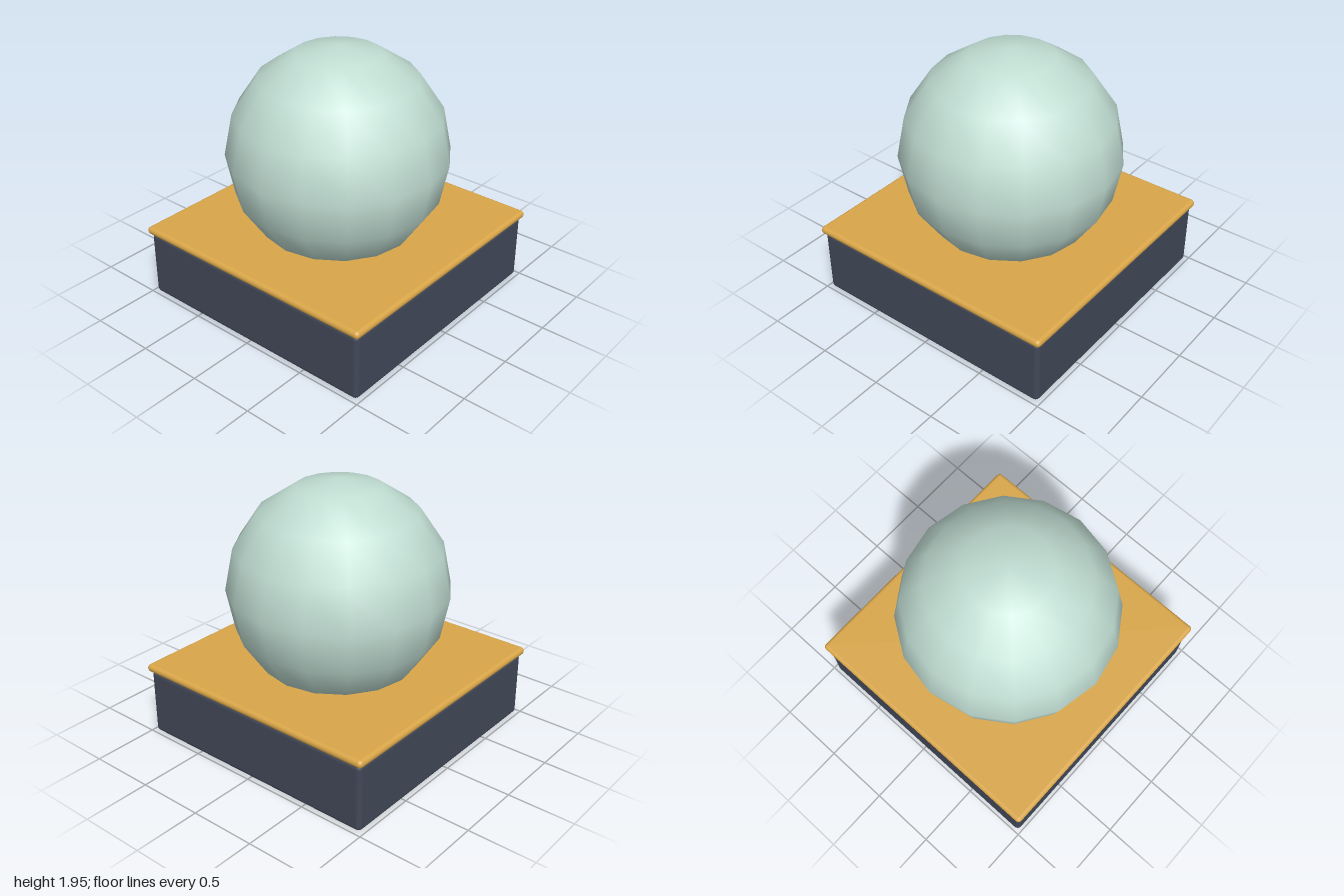
import * as THREE from 'three';
import { RoundedBoxGeometry } from 'three/addons/geometries/RoundedBoxGeometry.js';

const flat = (name, color) => {
  const m = new THREE.MeshStandardMaterial({ color });
  m.name = name;
  return m;
};

export function createModel() {
  const group = new THREE.Group();
  group.name = 'globeOnPlinth';

  const slate = flat('slate', 0x414858);
  const gold = flat('gold', 0xd9a649);
  const glass = flat('paleGreen', 0xc0ddd2);

  const add = (name, geometry, material, y) => {
    const mesh = new THREE.Mesh(geometry, material);
    mesh.name = name;
    mesh.position.y = y;
    group.add(mesh);
  };

  // Plinth block with softened edges
  add('plinth', new RoundedBoxGeometry(1.955, 0.51, 1.955, 3, 0.035), slate, 0.255);
  // Overhanging rounded trim slab
  add('trim', new RoundedBoxGeometry(2, 0.06, 2, 3, 0.03), gold, 0.535);
  // Smooth-shaded low-segment globe sunk into the trim
  add('globe', new THREE.SphereGeometry(0.813, 16, 8), glass, 1.135);

  return group;
}
